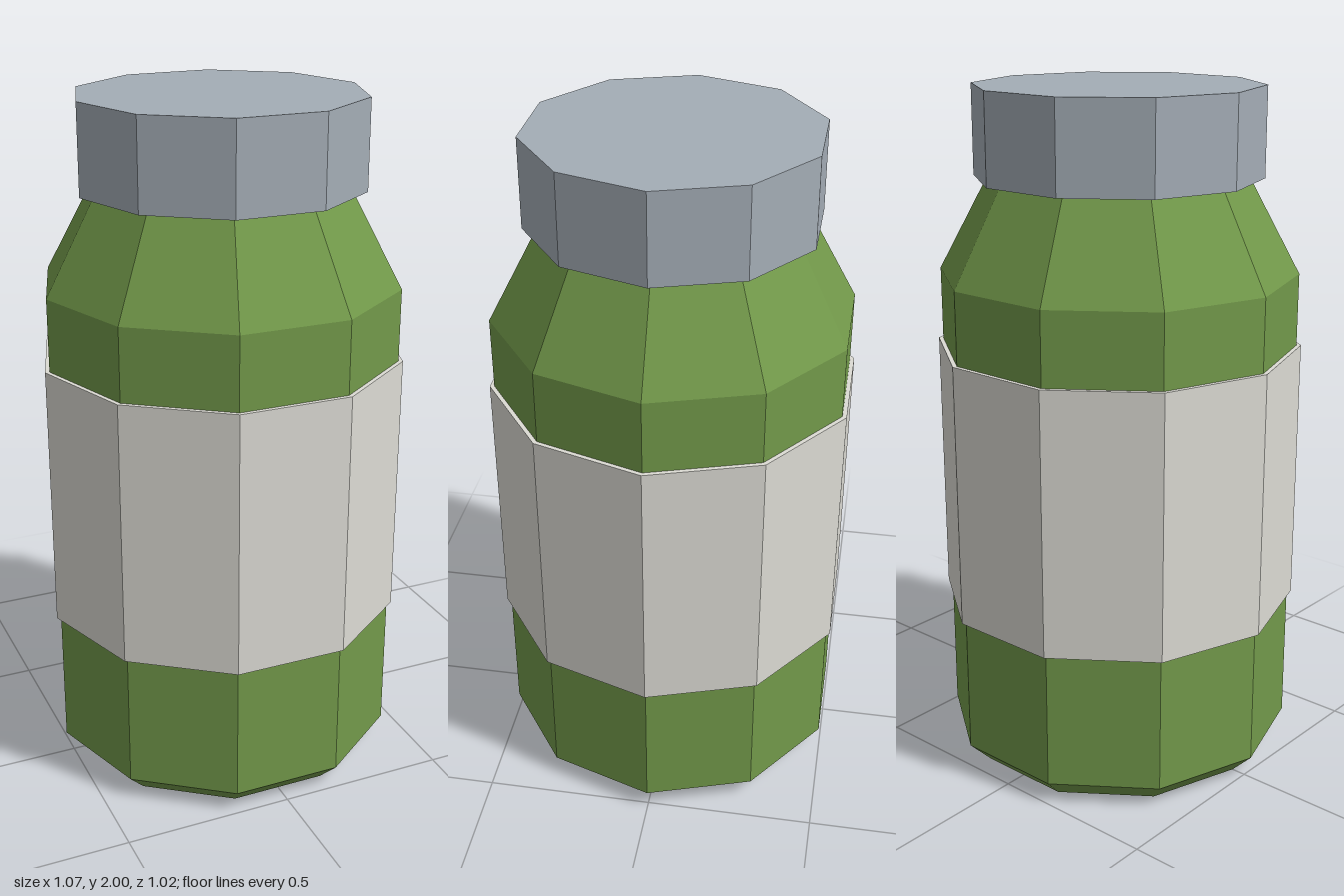
import * as THREE from 'three';

const SIDES = 10;

function flatMaterial(name, color) {
  const material = new THREE.MeshStandardMaterial({ color, flatShading: true });
  material.name = name;
  return material;
}

// Ten-sided turned part with a corner on the x axis; profile runs as [radius, y]
function turned(name, profile, material) {
  const points = profile.map(([r, y]) => new THREE.Vector2(r, y));
  const mesh = new THREE.Mesh(new THREE.LatheGeometry(points, SIDES, Math.PI / 2), material);
  mesh.name = name;
  return mesh;
}

export function createModel() {
  const green = flatMaterial('green', 0x72994a);
  const paper = flatMaterial('label white', 0xdcdbd4);
  const metal = flatMaterial('lid grey', 0xa4adb6);

  const jar = new THREE.Group();
  jar.name = 'jar';

  // Body with chamfered base and sloping shoulder
  jar.add(turned('body', [
    [0, 0], [0.457, 0], [0.522, 0.065], [0.522, 1.47], [0.376, 1.74], [0, 1.74],
  ], green));

  // Wrap-around label, a thin closed band
  jar.add(turned('label', [
    [0.522, 0.475], [0.535, 0.475], [0.535, 1.258], [0.522, 1.258],
  ], paper));

  // Lid overhanging the neck
  jar.add(turned('lid', [
    [0, 1.742], [0.416, 1.742], [0.416, 2], [0, 2],
  ], metal));

  return jar;
}
